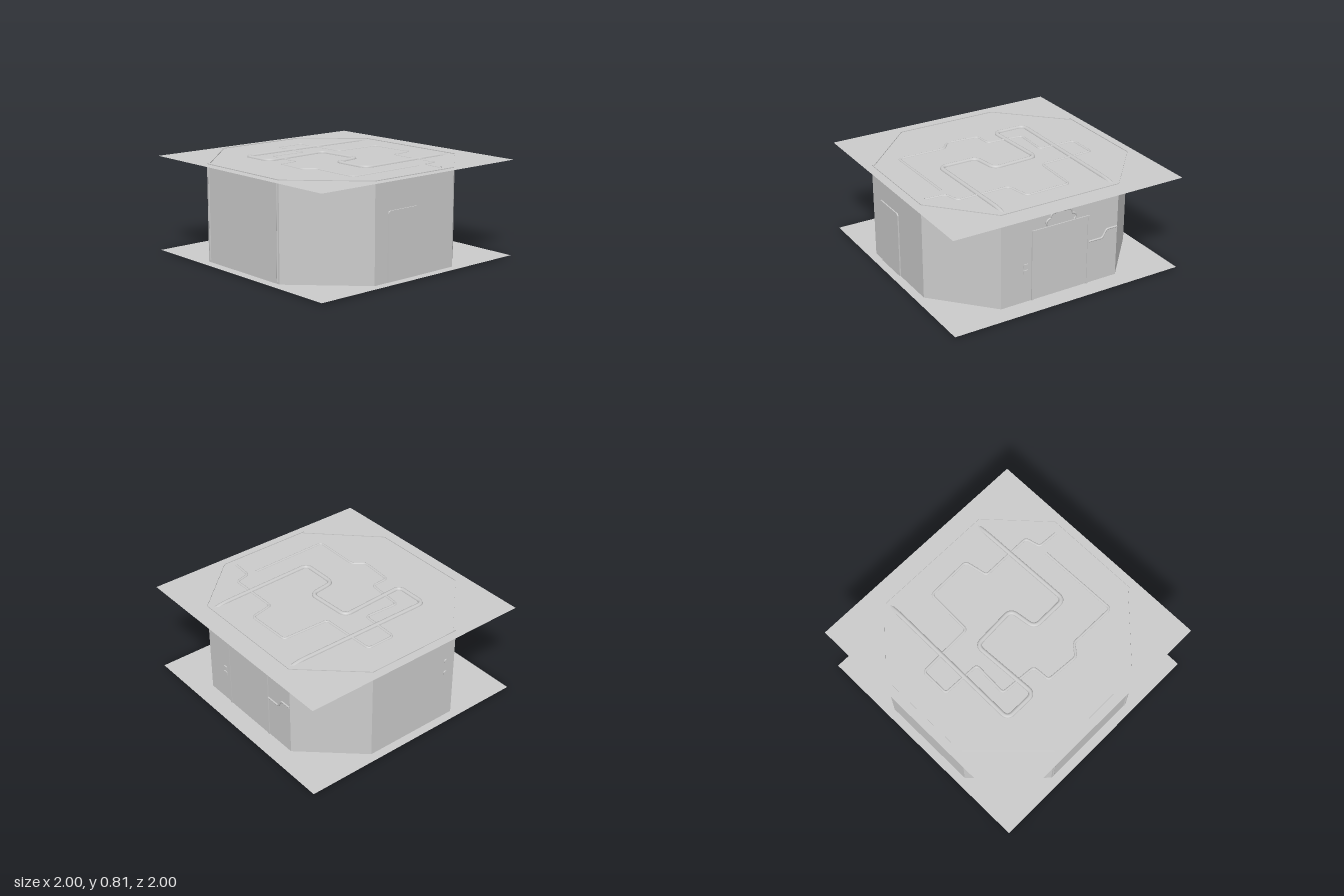
import * as THREE from 'three';

const FLOOR = 0.012, CEIL = 0.79, TOP = 0.796;
const mat = new THREE.MeshStandardMaterial({ color: 0xcccccc, side: THREE.DoubleSide });
const flat = new THREE.MeshStandardMaterial({ color: 0xcccccc, side: THREE.DoubleSide, flatShading: true });

export function createModel() {
  const model = new THREE.Group();
  model.name = 'octagonalRoom';

  const add = (name, geometry, x = 0, y = 0, z = 0, material = flat) => {
    const mesh = new THREE.Mesh(geometry, material);
    mesh.name = name;
    mesh.position.set(x, y, z);
    model.add(mesh);
    return mesh;
  };

  // Tube along a polyline whose corners are rounded by radius r
  const pipe = (name, pts, radius, r, closed = false, segments = 260) => {
    const p = pts.map((a) => new THREE.Vector3(...a));
    const path = new THREE.CurvePath();
    let from = p[0];
    for (let i = 1; i < p.length - 1; i++) {
      const cut = (to) => {
        const d = to.clone().sub(p[i]);
        return p[i].clone().addScaledVector(d.clone().normalize(), Math.min(r, d.length() * 0.45));
      };
      const a = cut(p[i - 1]), b = cut(p[i + 1]);
      path.add(new THREE.LineCurve3(from, a));
      path.add(new THREE.QuadraticBezierCurve3(a, p[i], b));
      from = b;
    }
    path.add(new THREE.LineCurve3(from, p[p.length - 1]));
    return add(name, new THREE.TubeGeometry(path, segments, radius, 8, closed), 0, 0, 0, mat);
  };

  // Floor and ceiling sheets
  for (const [name, y] of [['floor', FLOOR], ['ceiling', CEIL]]) {
    add(name, new THREE.PlaneGeometry(2, 2).rotateX(-Math.PI / 2), 0, y, 0);
  }

  // Side and rear walls: single sheets
  const corners = [[0.93, 0.43], [0.93, -0.39], [0.52, -0.84], [-0.52, -0.84], [-0.93, -0.39], [-0.93, 0.43]];
  const wallNames = ['leftWall', 'rearLeftWall', 'rearWall', 'rearRightWall', 'rightWall'];
  wallNames.forEach((name, i) => {
    const [x0, z0] = corners[i], [x1, z1] = corners[i + 1];
    const wall = add(name, new THREE.PlaneGeometry(Math.hypot(x1 - x0, z1 - z0), TOP - FLOOR),
      (x0 + x1) / 2, (TOP + FLOOR) / 2, (z0 + z1) / 2);
    wall.rotation.y = -Math.atan2(z1 - z0, x1 - x0);
  });

  // Thick front wall in three facets
  const plan = [[-0.93, 0.43], [-0.44, 0.925], [0.44, 0.925], [0.93, 0.43],
    [0.915, 0.415], [0.432, 0.903], [-0.432, 0.903], [-0.915, 0.415]];
  const planShape = new THREE.Shape(plan.map(([x, z]) => new THREE.Vector2(x, -z)));
  add('frontWall', new THREE.ExtrudeGeometry(planShape, { depth: TOP - FLOOR, bevelEnabled: false })
    .rotateX(-Math.PI / 2), 0, FLOOR, 0);

  // Upright strips at the front corners
  for (const s of [-1, 1]) {
    add('cornerStrip', new THREE.CylinderGeometry(0.008, 0.008, 0.75, 8), s * 0.418, 0.405, 0.923, mat);
  }

  // Side door with rounded top corners
  const w = 0.155, h = 0.54, c = 0.025;
  const doorShape = new THREE.Shape();
  doorShape.moveTo(-w, 0);
  doorShape.lineTo(w, 0);
  doorShape.lineTo(w, h - c);
  doorShape.quadraticCurveTo(w, h, w - c, h);
  doorShape.lineTo(-w + c, h);
  doorShape.quadraticCurveTo(-w, h, -w, h - c);
  add('sideDoor', new THREE.ExtrudeGeometry(doorShape, { depth: 0.02, bevelEnabled: false })
    .rotateY(Math.PI / 2), 0.92, 0.015, 0.145);

  // Rear door with posts and lintel
  add('rearDoor', new THREE.BoxGeometry(0.48, 0.57, 0.008), 0, 0.3, -0.841);
  for (const s of [-1, 1]) {
    add('rearDoorPost', new THREE.BoxGeometry(0.015, 0.58, 0.016), s * 0.248, 0.302, -0.841);
  }
  add('rearDoorLintel', new THREE.BoxGeometry(0.51, 0.014, 0.016), 0, 0.591, -0.841);

  // Scalloped ornament above the rear door
  const scallops = [];
  for (let i = 0; i <= 80; i++) {
    const t = (i / 80) * Math.PI;
    const k = 0.86 + 0.14 * Math.abs(Math.sin(t * 5));
    scallops.push(new THREE.Vector3(0.135 * k * Math.cos(t), 0.605 + 0.112 * k * Math.sin(t), -0.843));
  }
  add('scallopOrnament', new THREE.TubeGeometry(new THREE.CatmullRomCurve3(scallops), 120, 0.008, 6), 0, 0, 0, mat);

  // Conduit and switches on the rear wall
  pipe('rearConduit', [[-0.25, 0.37, -0.842], [-0.38, 0.37, -0.842], [-0.42, 0.435, -0.842],
    [-0.515, 0.435, -0.842]], 0.008, 0.015, false, 50);
  for (const y of [0.27, 0.32]) {
    add('rearSwitch', new THREE.BoxGeometry(0.04, 0.03, 0.016), 0.31, y, -0.84);
  }

  // Wall knobs
  for (const y of [0.44, 0.55]) {
    add('wallKnob', new THREE.CylinderGeometry(0.018, 0.018, 0.02, 10).rotateZ(Math.PI / 2), -0.93, y, 0.34, mat);
  }

  // Upright pipes standing inside the rear corners
  for (const s of [-1, 1]) {
    for (const [x, z] of [[0.75, -0.52], [0.635, -0.64]]) {
      add('uprightPipe', new THREE.CylinderGeometry(0.027, 0.027, 0.77, 12), s * x, 0.385, z, mat);
    }
  }

  // Pipes half sunk into the ceiling; the wide one dips below it at both ends
  const wide = [[-0.49, -0.72], [-0.5, 0.49], [-0.22, 0.49], [-0.25, -0.09], [0.14, -0.11],
    [0.17, 0.12], [0.495, 0.12], [0.475, -0.72]].map(([x, z]) => [x, 0.788, z]);
  pipe('wideCeilingPipe', [[-0.49, 0.765, -0.83], ...wide, [0.475, 0.765, -0.83]], 0.02, 0.06, false, 400);

  const narrow = [[0.86, -0.32], [0.69, -0.33], [0.66, -0.455], [0.22, -0.455], [0.18, -0.65], [-0.2, -0.64],
    [-0.215, -0.24], [-0.685, -0.225], [-0.685, 0.015], [-0.365, 0.025], [-0.38, 0.32], [-0.07, 0.345],
    [-0.06, 0.495], [0.22, 0.515], [0.29, 0.425], [0.695, 0.43], [0.685, -0.25]].map(([x, z]) => [x, 0.787, z]);
  pipe('narrowCeilingPipe', narrow, 0.012, 0.03, false, 500);

  return model;
}
